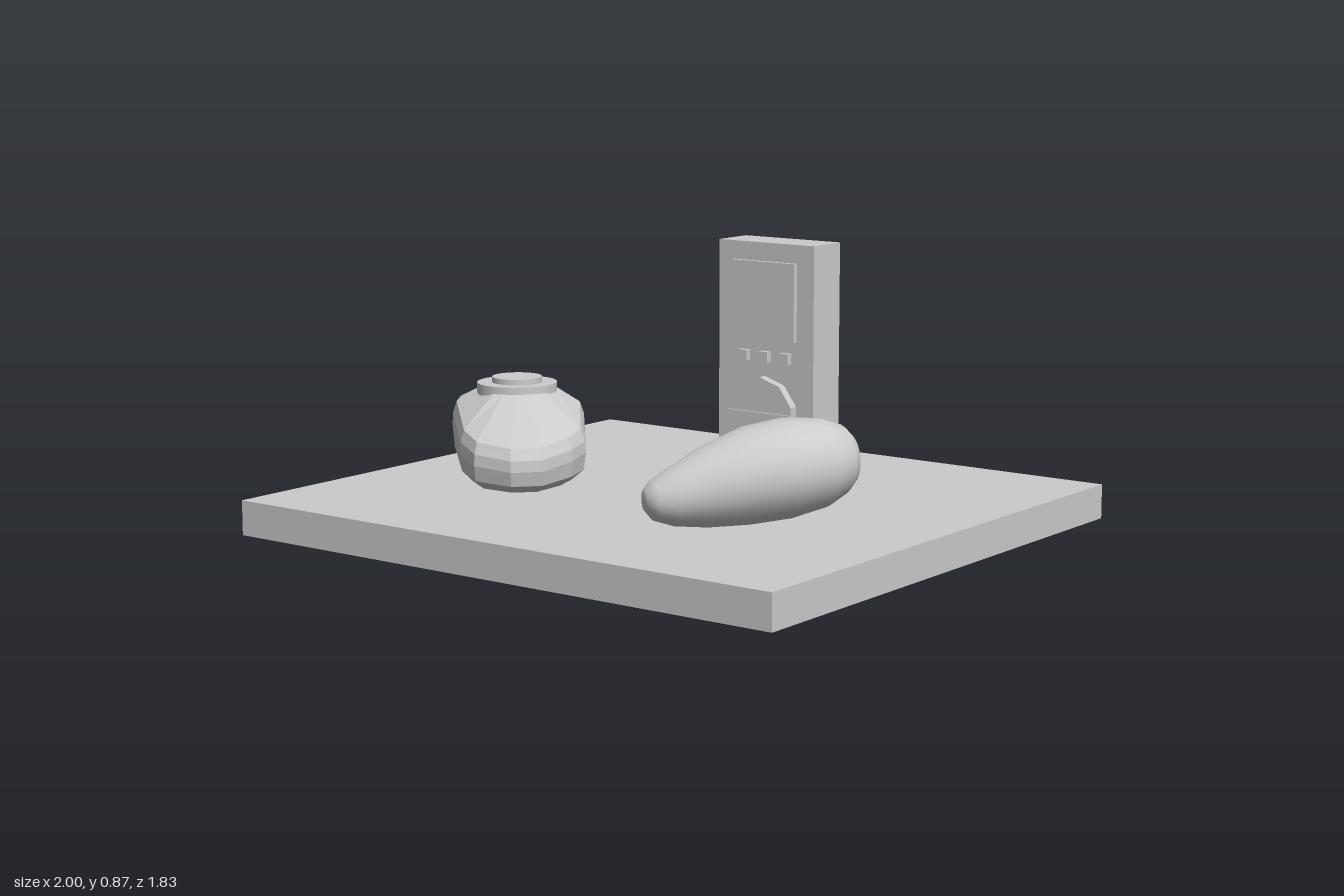
import * as THREE from 'three';

const smooth = new THREE.MeshStandardMaterial({ color: 0xcccccc });
const faceted = new THREE.MeshStandardMaterial({ color: 0xcccccc, flatShading: true });

function add(parent, name, geometry, x, y, z, material = smooth) {
  const mesh = new THREE.Mesh(geometry, material);
  mesh.name = name;
  mesh.position.set(x, y, z);
  parent.add(mesh);
  return mesh;
}

// Box given by its minimum and maximum corners
function addBox(parent, name, [x0, y0, z0], [x1, y1, z1]) {
  return add(parent, name, new THREE.BoxGeometry(x1 - x0, y1 - y0, z1 - z0),
    (x0 + x1) / 2, (y0 + y1) / 2, (z0 + z1) / 2);
}

// Skin over rings of points (counter-clockwise about the stacking direction), closed at both ends
function loft(rings) {
  const n = rings[0].length;
  const points = rings.flat();
  const index = [];
  for (let i = 0; i < rings.length - 1; i++) {
    for (let j = 0; j < n; j++) {
      const a = i * n + j, b = i * n + (j + 1) % n;
      index.push(a, b, b + n, a, b + n, a + n);
    }
  }
  for (const end of [0, rings.length - 1]) {
    const centre = new THREE.Vector3();
    rings[end].forEach((p) => centre.addScaledVector(p, 1 / n));
    const c = points.push(centre) - 1;
    for (let j = 0; j < n; j++) {
      const a = end * n + j, b = end * n + (j + 1) % n;
      if (end === 0) index.push(c, b, a);
      else index.push(c, a, b);
    }
  }
  const geometry = new THREE.BufferGeometry().setFromPoints(points);
  geometry.setIndex(index);
  geometry.computeVertexNormals();
  return geometry;
}

// Faceted body: one plan outline, scaled and tilted towards the low front end
function facetedBody() {
  const outline = [
    [-0.745, 0.2], [-0.72, 0.25], [-0.51, 0.45], [-0.4, 0.51], [-0.27, 0.49], [-0.2, 0.42],
    [-0.19, 0.29], [-0.21, 0.2], [-0.385, -0.01], [-0.51, -0.05], [-0.66, -0.02], [-0.72, 0.06],
  ];
  const cx = -0.47, cz = 0.23;
  // scale, height at the back, height at the front
  const levels = [
    [0.3, 0.12, 0.12], [0.78, 0.17, 0.14], [0.97, 0.23, 0.17],
    [1, 0.31, 0.215], [0.99, 0.35, 0.25], [0.93, 0.39, 0.285],
  ];
  const rings = levels.map(([s, back, front]) => outline.map(([x, z]) => {
    const f = THREE.MathUtils.clamp((0.63 * x + 0.77 * z + 0.43) / 0.64, 0, 1);
    return new THREE.Vector3(cx + (x - cx) * s, THREE.MathUtils.lerp(back, front, f), cz + (z - cz) * s);
  }));
  // Flat seat under the cap
  rings.push(outline.map(([x, z]) => {
    const d = new THREE.Vector3(x + 0.54, 0, z - 0.14).setLength(0.13);
    return d.add(new THREE.Vector3(-0.54, 0.405, 0.14));
  }));
  return loft(rings);
}

// Smooth body: oval sections along a slanted axis, from the blunt back to the tip
function smoothBody() {
  // position along the axis, half width, top, bottom
  const sections = [
    [-0.38, 0.035, 0.32, 0.25], [-0.365, 0.08, 0.36, 0.21], [-0.335, 0.115, 0.39, 0.18],
    [-0.27, 0.15, 0.412, 0.145], [-0.16, 0.165, 0.42, 0.12], [-0.03, 0.155, 0.4, 0.11],
    [0.1, 0.125, 0.35, 0.11], [0.2, 0.09, 0.295, 0.12], [0.26, 0.065, 0.26, 0.14],
    [0.285, 0.03, 0.235, 0.17],
  ];
  const axis = new THREE.Vector3(-0.55, 0, 0.835);
  const side = new THREE.Vector3(0.835, 0, 0.55);
  const n = 24;
  return loft(sections.map(([t, w, top, bottom]) => Array.from({ length: n }, (_, j) => {
    const a = (j / n) * Math.PI * 2;
    const p = axis.clone().multiplyScalar(t).addScaledVector(side, 0.507 + w * Math.cos(a));
    p.y = (top + bottom) / 2 + (top - bottom) / 2 * Math.sin(a);
    return p;
  })));
}

export function createModel() {
  const model = new THREE.Group();
  model.name = 'tabletopSet';

  addBox(model, 'baseBoard', [-1, 0, -0.913], [1, 0.11, 0.913]);

  // Upright handheld device
  const device = new THREE.Group();
  device.name = 'device';
  model.add(device);
  addBox(device, 'deviceCase', [-0.135, 0.127, -0.547], [0.235, 0.865, -0.4]);
  addBox(device, 'screen', [-0.075, 0.553, -0.41], [0.17, 0.805, -0.383]);
  for (const x of [-0.03, 0.052, 0.132]) {
    addBox(device, 'button', [x - 0.018, 0.48, -0.41], [x + 0.018, 0.515, -0.38]);
  }
  const dial = add(device, 'dial', new THREE.CylinderGeometry(0.128, 0.128, 0.04, 10), 0.048, 0.305, -0.39, faceted);
  dial.rotation.x = Math.PI / 2;
  addBox(device, 'dialBar', [-0.074, 0.293, -0.38], [0.17, 0.319, -0.363]);

  // Faceted body with a stepped round cap
  const capped = new THREE.Group();
  capped.name = 'cappedBody';
  model.add(capped);
  add(capped, 'facetedShell', facetedBody(), 0, 0, 0, faceted);
  add(capped, 'capRim', new THREE.CylinderGeometry(0.128, 0.128, 0.035, 32), -0.54, 0.41, 0.14);
  add(capped, 'capTop', new THREE.CylinderGeometry(0.08, 0.08, 0.03, 32), -0.54, 0.43, 0.14);

  add(model, 'smoothPod', smoothBody(), 0, 0, 0);
  return model;
}
